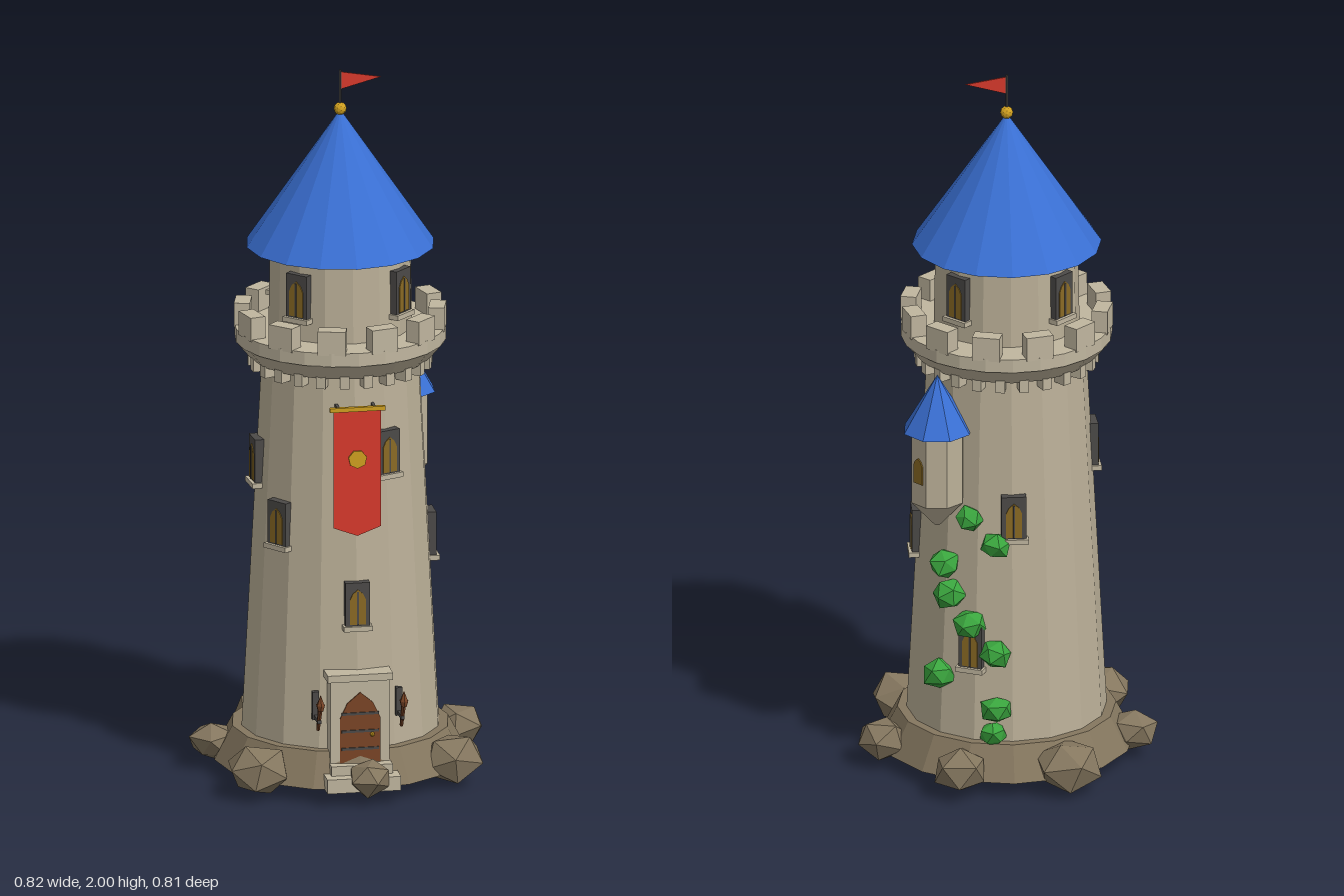
import * as THREE from 'three';

const mat = (name, color) => {
  const m = new THREE.MeshStandardMaterial({ color });
  m.name = name;
  return m;
};

export function createModel() {
  const stone = mat('stone', 0xbbb098), trim = mat('trimStone', 0xc0b69f), rock = mat('rock', 0x85775f);
  const blue = mat('roofBlue', 0x3a70d4), green = mat('ivyGreen', 0x3aa53e), red = mat('clothRed', 0xd93a2c);
  const gold = mat('gold', 0xd0a020), wood = mat('wood', 0x7a4526), iron = mat('iron', 0x4c4a48), glass = mat('amberGlass', 0x8a6a24);

  const model = new THREE.Group();
  const tower = new THREE.Group();
  tower.name = 'tower';
  tower.position.set(-0.005, 0, -0.013);
  model.add(tower);

  let seed = 7;
  const rand = () => (seed = (seed * 16807) % 2147483647) / 2147483647;
  const rad = THREE.MathUtils.degToRad;

  // Faceted mesh helpers
  const add = (parent, name, geo, material, x = 0, y = 0, z = 0) => {
    const g = geo.index ? geo.toNonIndexed() : geo;
    g.computeVertexNormals();
    const m = new THREE.Mesh(g, material);
    m.name = name;
    m.position.set(x, y, z);
    parent.add(m);
    return m;
  };
  const box = (parent, name, material, w, h, d, x, y, z) =>
    add(parent, name, new THREE.BoxGeometry(w, h, d), material, x, y, z);
  const drum = (parent, name, material, rTop, rBottom, y0, y1, sides = 16) =>
    add(parent, name, new THREE.CylinderGeometry(rTop, rBottom, y1 - y0, sides), material, 0, (y0 + y1) / 2, 0);
  // Group on the wall: local +z points outward at the given angle from the front
  const onWall = (name, angle, r, y) => {
    const g = new THREE.Group();
    const a = rad(angle);
    g.name = name;
    g.position.set(Math.sin(a) * r, y, Math.cos(a) * r);
    g.rotation.y = a;
    tower.add(g);
    return g;
  };
  const wallRadius = (y) => 0.275 - (y - 0.14) * 0.0535;
  // Pointed arch plate, standing on y = 0
  const arch = (w, h, depth) => {
    const s = new THREE.Shape();
    const k = h - w * 0.65;
    s.moveTo(-w / 2, 0);
    s.lineTo(w / 2, 0);
    s.lineTo(w / 2, k);
    s.lineTo(w * 0.32, k + w * 0.38);
    s.lineTo(0, h);
    s.lineTo(-w * 0.32, k + w * 0.38);
    s.lineTo(-w / 2, k);
    s.closePath();
    return new THREE.ExtrudeGeometry(s, { depth, bevelEnabled: false });
  };
  // Irregular boulder or leaf clump
  const lump = (parent, name, material, r, x, y, z, squash, jitter) => {
    const geo = new THREE.IcosahedronGeometry(r, 0);
    const p = geo.attributes.position, moved = new Map(), v = new THREE.Vector3();
    for (let i = 0; i < p.count; i++) {
      v.fromBufferAttribute(p, i);
      const key = v.toArray().map((c) => Math.round(c * 1e4)).join();
      if (!moved.has(key)) moved.set(key, 1 + (rand() - 0.5) * jitter);
      v.multiplyScalar(moved.get(key));
      p.setXYZ(i, v.x, v.y, v.z);
    }
    geo.rotateX(rand() * 6);
    geo.rotateY(rand() * 6);
    geo.scale(1, squash, 1);
    add(parent, name, geo, material, x, y, z);
  };

  // Main masonry
  drum(tower, 'plinth', rock, 0.3, 0.35, 0.045, 0.14);
  drum(tower, 'body', stone, 0.218, 0.275, 0.13, 1.2);
  drum(tower, 'parapetFlare', stone, 0.29, 0.25, 1.19, 1.238);
  drum(tower, 'parapetWalk', trim, 0.29, 0.29, 1.237, 1.275, 24);
  drum(tower, 'upperDrum', stone, 0.195, 0.2, 1.27, 1.52);
  for (let i = 0; i < 24; i++)
    box(onWall('corbel', i * 15 + 7.5, 0.232, 1.18), 'corbelBlock', trim, 0.026, 0.036, 0.042, 0, 0, 0);
  for (let i = 0; i < 12; i++)
    box(onWall('merlon', i * 30 + 15, 0.267, 1.303), 'merlonBlock', trim, 0.077, 0.068, 0.044, 0, 0, 0);

  // Roof, finial and pennant
  drum(tower, 'roof', blue, 0, 0.26, 1.506, 1.888);
  add(tower, 'finial', new THREE.IcosahedronGeometry(0.018, 1), gold, 0, 1.89, 0);
  drum(tower, 'flagPole', iron, 0.004, 0.004, 1.89, 2, 6);
  const flag = new THREE.Shape([[0, 1.995], [0, 1.945], [0.113, 1.975]].map((p) => new THREE.Vector2(...p)));
  add(tower, 'flag', new THREE.ExtrudeGeometry(flag, { depth: 0.004, bevelEnabled: false }), red, 0, 0, -0.002);

  // Windows: dark surround, amber lancet, mullion and sill
  const addWindow = (angle, y, r) => {
    const g = onWall('window', angle, r, y);
    box(g, 'windowFrame', iron, 0.068, 0.128, 0.03, 0, 0, 0);
    add(g, 'windowPane', arch(0.044, 0.1, 0.004), glass, 0, -0.055, 0.0135);
    box(g, 'mullion', iron, 0.005, 0.095, 0.005, 0, -0.008, 0.017);
    box(g, 'windowSill', trim, 0.08, 0.014, 0.042, 0, -0.066, 0.003);
  };
  [[0, 0.548], [-53, 0.758], [23, 0.967], [90, 0.667], [-86, 0.905], [181, 0.79], [155, 0.41]]
    .forEach(([a, y]) => addWindow(a, y, wallRadius(y)));
  [45, 135, 225, 315].forEach((a) => addWindow(a, 1.402, 0.196));

  // Doorway
  const door = new THREE.Group();
  door.name = 'doorway';
  tower.add(door);
  box(door, 'doorFrame', trim, 0.165, 0.25, 0.08, 0, 0.225, 0.262);
  box(door, 'lintel', trim, 0.182, 0.02, 0.095, 0, 0.352, 0.262);
  add(door, 'doorLeaf', arch(0.112, 0.205, 0.007), wood, 0, 0.105, 0.299);
  for (const y of [0.15, 0.2, 0.25]) box(door, 'doorBand', iron, 0.104, 0.007, 0.004, 0, y, 0.307);
  add(door, 'doorHandle', new THREE.IcosahedronGeometry(0.007, 0), gold, 0.033, 0.19, 0.31);
  box(door, 'upperStep', trim, 0.17, 0.06, 0.08, 0, 0.08, 0.295);
  box(door, 'lowerStep', trim, 0.205, 0.04, 0.1, 0, 0.063, 0.318);

  // Torches beside the door
  for (const side of [-1, 1]) {
    const t = new THREE.Group();
    t.name = 'torch';
    t.position.set(side * 0.116, 0.235, 0.265);
    tower.add(t);
    box(t, 'torchPlate', iron, 0.018, 0.08, 0.016, 0, 0.03, -0.008);
    box(t, 'torchArm', iron, 0.01, 0.01, 0.06, 0, 0, 0.025);
    const shaft = add(t, 'torchShaft', new THREE.CylinderGeometry(0.007, 0.005, 0.085, 6), wood, 0, 0.01, 0.05);
    shaft.rotation.x = 0.45;
    add(t, 'torchCup', new THREE.CylinderGeometry(0.013, 0.008, 0.018, 6), wood, 0, 0.046, 0.07);
    add(t, 'torchTip', new THREE.ConeGeometry(0.012, 0.03, 6), wood, 0, 0.068, 0.072);
  }

  // Banner
  const cloth = new THREE.Shape([[-0.066, 1.108], [-0.066, 0.77], [0, 0.745], [0.066, 0.77], [0.066, 1.108]]
    .map((p) => new THREE.Vector2(...p)));
  add(tower, 'banner', new THREE.ExtrudeGeometry(cloth, { depth: 0.005, bevelEnabled: false }), red, 0, 0, 0.257);
  box(tower, 'bannerRod', gold, 0.154, 0.012, 0.012, 0, 1.108, 0.262);
  for (const x of [-0.05, 0.05]) box(tower, 'bannerBracket', iron, 0.008, 0.008, 0.06, x, 1.106, 0.232);
  const badge = add(tower, 'bannerOrnament', new THREE.CylinderGeometry(0.026, 0.026, 0.006, 7), gold, 0, 0.965, 0.265);
  badge.rotation.x = Math.PI / 2;

  // Hanging side turret
  const turret = onWall('turret', 130, 0.262, 0);
  drum(turret, 'turretBase', stone, 0.076, 0.008, 0.745, 0.82, 8);
  drum(turret, 'turretBody', stone, 0.076, 0.076, 0.82, 1.035, 8);
  drum(turret, 'turretRoof', blue, 0, 0.097, 1.025, 1.187, 8);
  turret.children.forEach((m) => { m.rotation.y = Math.PI / 8; });
  add(turret, 'turretWindow', arch(0.034, 0.075, 0.006), glass, 0, 0.885, 0.068);

  // Climbing ivy: angle, height, size
  [[152, 0.78, 0.04], [170, 0.71, 0.043], [135, 0.635, 0.046], [139, 0.55, 0.05], [154, 0.475, 0.048],
    [170, 0.395, 0.044], [134, 0.315, 0.05], [171, 0.235, 0.046], [169, 0.165, 0.04]].forEach(([a, y, r]) => {
    const g = onWall('ivy', a, wallRadius(y) + 0.008, y);
    lump(g, 'ivyClump', green, r, 0, 0, 0, 0.9, 0.25);
  });

  // Boulders around the foot: x, z, size
  [[-0.155, -0.32, 0.098], [0.14, -0.335, 0.08], [0.34, -0.1, 0.076], [0.27, 0.195, 0.088],
    [-0.275, 0.215, 0.092], [-0.345, -0.075, 0.068], [0.016, 0.335, 0.068]].forEach(([x, z, r]) =>
    lump(model, 'boulder', rock, r, x, 0.08, z, 0.78, 0.22));

  return model;
}
